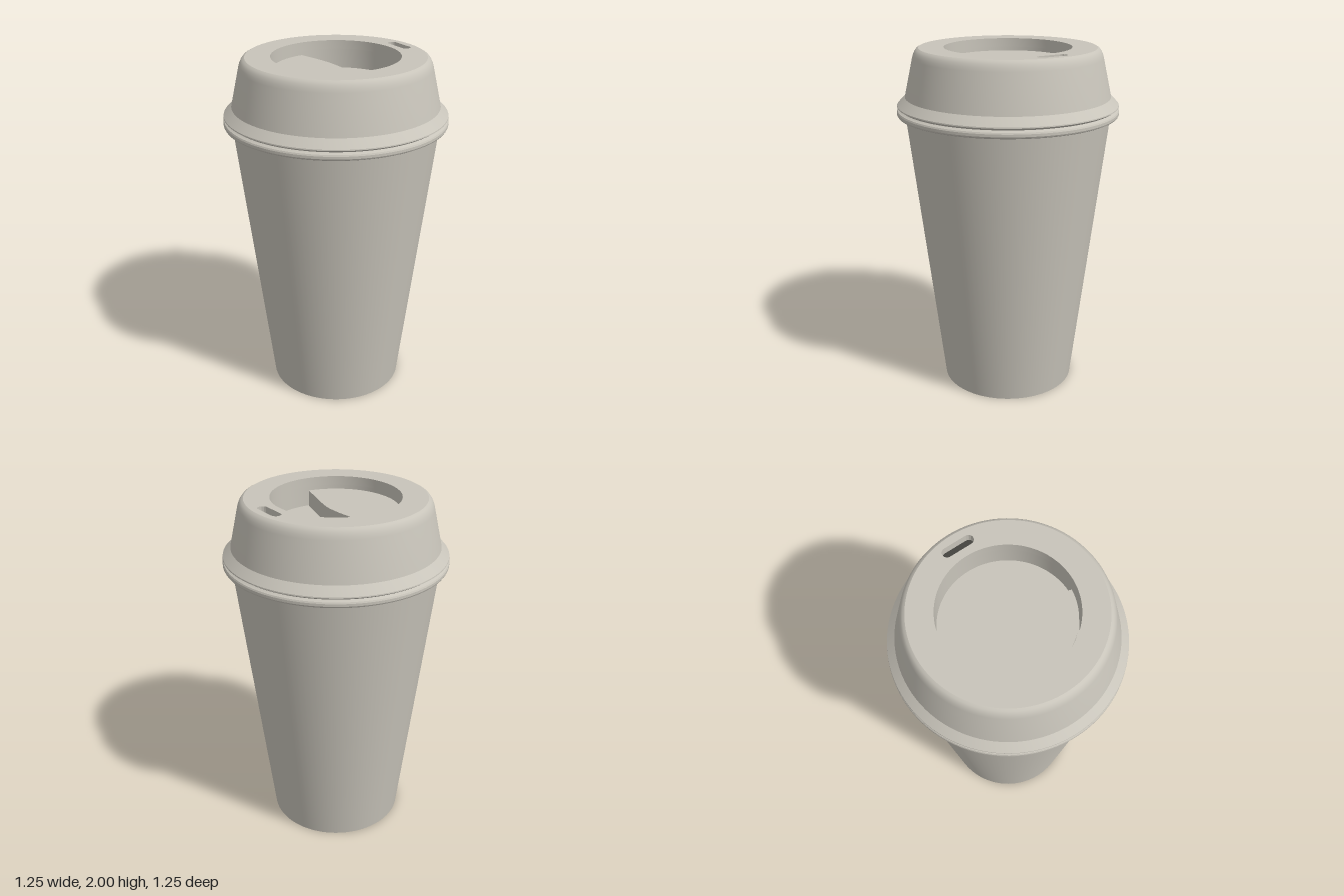
import * as THREE from 'three';
import { toCreasedNormals } from 'three/addons/utils/BufferGeometryUtils.js';

const paper = new THREE.MeshStandardMaterial({ color: 0xc8c4ba });
paper.name = 'warm grey';
const dark = new THREE.MeshStandardMaterial({ color: 0x44433f });
dark.name = 'dark opening';

const TOP = 2, FLOOR = 1.84, RECESS = 0.355, SLOT_DEPTH = 0.05;

function createMesh(name, geometry, material = paper) {
  const mesh = new THREE.Mesh(toCreasedNormals(geometry, 0.4), material);
  mesh.name = name;
  return mesh;
}

// Revolved part from [radius, height] pairs
function lathe(name, profile) {
  const points = profile.map(([r, y]) => new THREE.Vector2(r, y));
  return createMesh(name, new THREE.LatheGeometry(points, 96));
}

// Horizontal plate, shape y pointing to the back (-z)
function plate(name, shape, bottom, depth, material) {
  const geometry = new THREE.ExtrudeGeometry(shape, { depth, bevelEnabled: false, curveSegments: 48 });
  geometry.rotateX(-Math.PI / 2).translate(0, bottom, 0);
  return createMesh(name, geometry, material);
}

function circle(PathType, radius) {
  return new PathType().absarc(0, 0, radius, 0, Math.PI * 2, false);
}

// Tilted capsule outline of the sip slot
function slotOutline(PathType, r = 0.027) {
  const a = -0.32, half = 0.063;
  const dx = Math.cos(a) * half, dy = Math.sin(a) * half;
  const path = new PathType();
  path.absarc(0.13 + dx, 0.405 + dy, r, a - Math.PI / 2, a + Math.PI / 2, false);
  path.absarc(0.13 - dx, 0.405 - dy, r, a + Math.PI / 2, a + Math.PI * 1.5, false);
  path.closePath();
  return path;
}

export function createModel() {
  const model = new THREE.Group();
  model.name = 'takeawayCup';

  // Tapered cup with flat base
  model.add(lathe('cupBody', [[0, 0], [0.388, 0], [0.581, 1.66]]));

  // Lid side: double bead, flared skirt, rounded shoulder
  model.add(lathe('lidSide', [
    [0.572, 1.63], [0.612, 1.627], [0.62, 1.631], [0.624, 1.639], [0.624, 1.653], [0.62, 1.661], [0.612, 1.665],
    [0.605, 1.67], [0.612, 1.676], [0.622, 1.682], [0.621, 1.688],
    [0.577, 1.732], [0.529, 1.945], [0.524, 1.963], [0.516, 1.98], [0.506, 1.993], [0.494, TOP],
  ]));

  // Lid top with round recess and sip slot
  const top = circle(THREE.Shape, 0.494);
  top.holes.push(circle(THREE.Path, RECESS), slotOutline(THREE.Path));
  model.add(plate('lidTop', top, TOP - SLOT_DEPTH, SLOT_DEPTH));
  model.add(plate('sipSlot', slotOutline(THREE.Shape, 0.029), TOP - SLOT_DEPTH - 0.004, 0.005, dark));

  // Recess wall and floor
  model.add(lathe('lidRecess', [[RECESS, TOP - SLOT_DEPTH], [RECESS, FLOOR], [0, FLOOR]]));

  // Raised half step with a wavy front edge
  const step = new THREE.Shape();
  step.moveTo(-0.332, 0.095);
  step.splineThru([[-0.15, 0.075], [0, 0.035], [0.1, -0.018], [0.303, -0.165]]
    .map(([x, y]) => new THREE.Vector2(x, y)));
  step.absarc(0, 0, 0.345, -0.4986, 2.863 - Math.PI * 2, true);
  model.add(plate('recessStep', step, FLOOR - 0.002, 0.092));

  return model;
}
